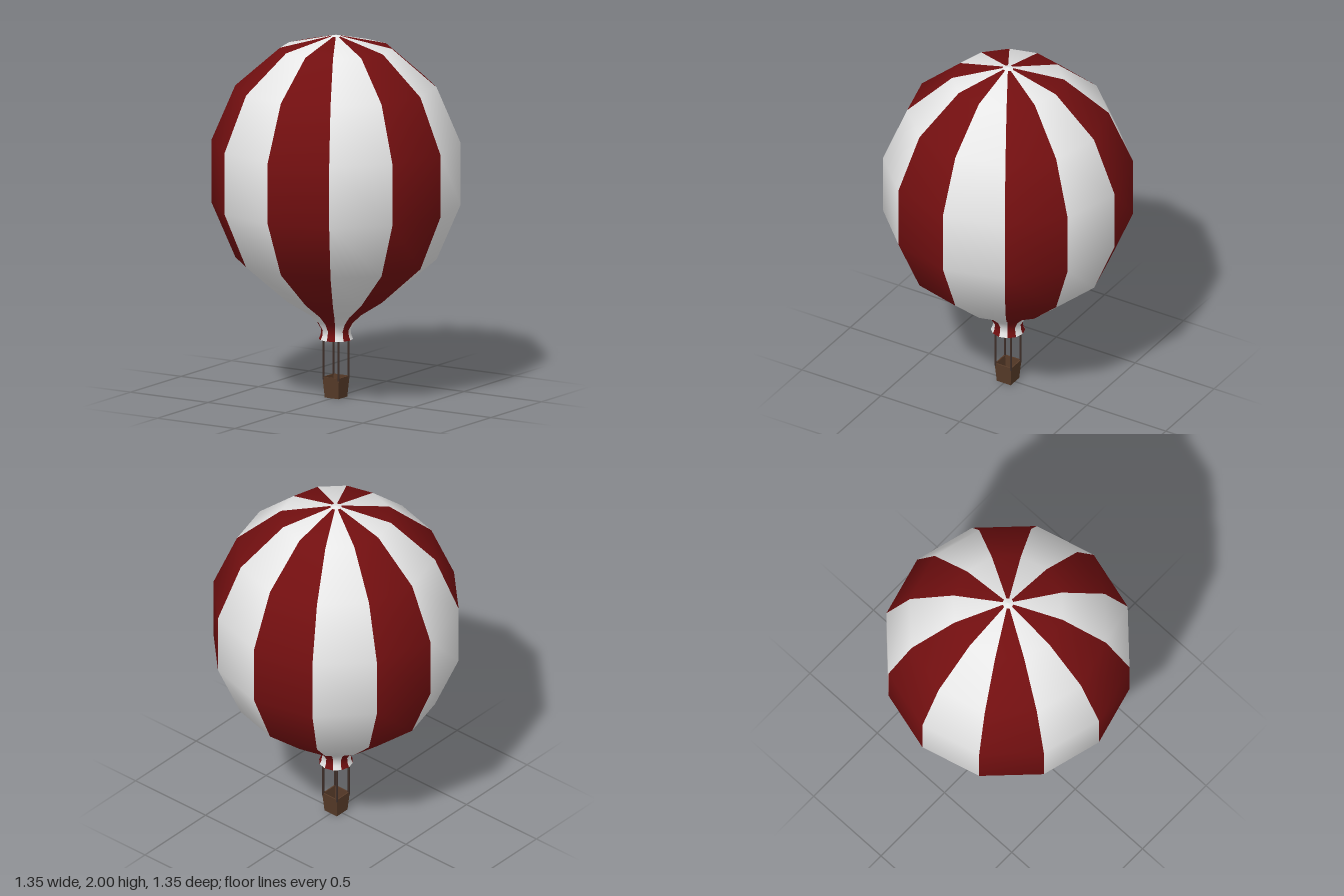
import * as THREE from 'three';

const white = new THREE.MeshStandardMaterial({ color: 0xeeeeee, side: THREE.DoubleSide });
white.name = 'white fabric';
const red = new THREE.MeshStandardMaterial({ color: 0x720f10, side: THREE.DoubleSide });
red.name = 'red fabric';
const wicker = new THREE.MeshStandardMaterial({ color: 0x563a28, flatShading: true });
wicker.name = 'brown wicker';
const rope = new THREE.MeshStandardMaterial({ color: 0x40302a });
rope.name = 'dark rope';

const points = (list) => list.map(([r, y]) => new THREE.Vector2(r, y));

function part(name, geometry, material, parent) {
  const mesh = new THREE.Mesh(geometry, material);
  mesh.name = name;
  parent.add(mesh);
  return mesh;
}

export function createModel() {
  const model = new THREE.Group();
  model.name = 'hotAirBalloon';

  // Envelope: twelve gores in alternating colours, from the mouth to the crown
  const envelope = new THREE.Group();
  envelope.name = 'envelope';
  model.add(envelope);
  const profile = points([
    [0.093, 0.322], [0.083, 0.345], [0.08, 0.375], [0.105, 0.418], [0.16, 0.468],
    [0.298, 0.555], [0.545, 0.767], [0.675, 1.07], [0.675, 1.41],
    [0.545, 1.715], [0.303, 1.925], [0.03, 1.993],
  ]);
  const gores = 12;
  const step = (Math.PI * 2) / gores;
  for (let i = 0; i < gores; i++) {
    part('gore' + (i + 1), new THREE.LatheGeometry(profile, 1, i * step, step),
      i % 2 ? white : red, envelope);
  }

  // Small white crown closing the top
  part('crown', new THREE.LatheGeometry(points([[0.03, 1.993], [0, 2]]), gores), white, envelope);

  // Open square basket, narrower at the base
  const k = Math.SQRT2;
  const basket = points([
    [0, 0], [0.044 * k, 0], [0.053 * k, 0.115], [0.046 * k, 0.115], [0.038 * k, 0.012], [0, 0.012],
  ]);
  part('basket', new THREE.LatheGeometry(basket, 4, Math.PI / 4), wicker, model);

  // Four ropes from the basket corners to the mouth
  for (const x of [-0.049, 0.049]) {
    for (const z of [-0.049, 0.049]) {
      part('rope', new THREE.CylinderGeometry(0.006, 0.006, 0.25, 6), rope, model)
        .position.set(x, 0.225, z);
    }
  }
  return model;
}
